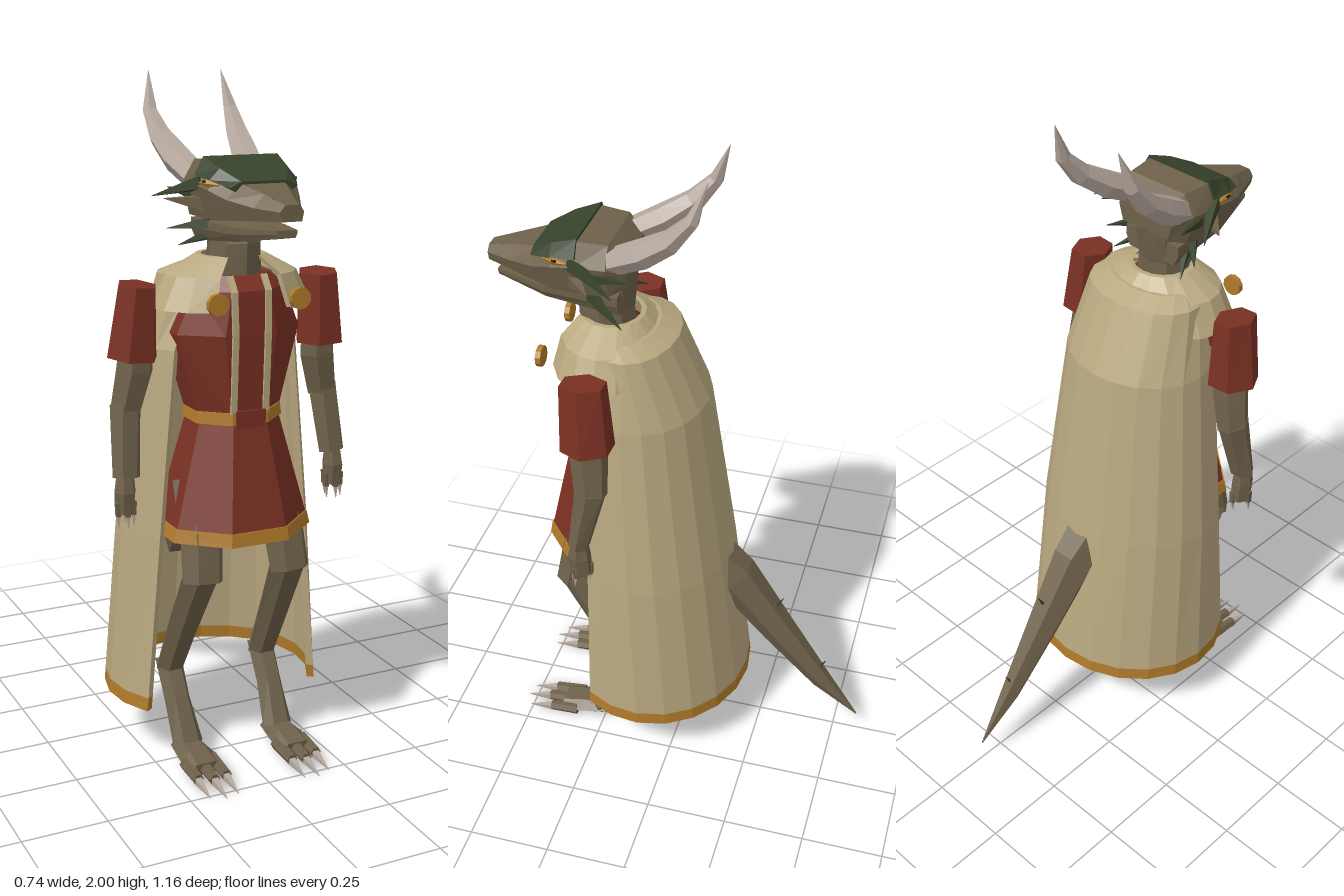
import * as THREE from 'three';

const mat = (name, color) => {
  const m = new THREE.MeshStandardMaterial({ color, flatShading: true });
  m.name = name;
  return m;
};

// Closed solid through rings of equal point count; faces always point outward
function loft(rings) {
  const n = rings[0].length, tris = [];
  const quad = (a, b, c, d) => tris.push([a, b, c], [a, c, d]);
  for (let r = 0; r < rings.length - 1; r++) {
    const A = rings[r], B = rings[r + 1];
    for (let i = 0; i < n; i++) quad(A[i], A[(i + 1) % n], B[(i + 1) % n], B[i]);
  }
  const A = rings[0], B = rings[rings.length - 1];
  for (let i = 0; i < n / 2 - 1; i++) {
    quad(A[i + 1], A[i], A[n - 1 - i], A[n - 2 - i]);
    quad(B[i], B[i + 1], B[n - 2 - i], B[n - 1 - i]);
  }
  let volume = 0;
  const o = A[0], p = new THREE.Vector3(), q = new THREE.Vector3(), s = new THREE.Vector3();
  for (const [a, b, c] of tris) {
    p.subVectors(a, o); q.subVectors(b, o); s.subVectors(c, o);
    volume += p.dot(q.cross(s));
  }
  const pts = tris.flatMap(([a, b, c]) => (volume < 0 ? [a, c, b] : [a, b, c]));
  const g = new THREE.BufferGeometry().setFromPoints(pts);
  g.computeVertexNormals();
  return g;
}

// Limb along points [x, y, z, width radius, depth radius]
function limb(path, sides = 6, s = 1) {
  const c = path.map(([x, y, z]) => new THREE.Vector3(x * s, y, z));
  return loft(path.map(([, , , ru, rv = ru], i) => {
    const t = c[Math.min(i + 1, c.length - 1)].clone().sub(c[Math.max(i - 1, 0)]).normalize();
    const u = new THREE.Vector3(1, 0, 0).addScaledVector(t, -t.x).normalize();
    const v = t.clone().cross(u);
    return Array.from({ length: sides }, (_, k) => {
      const a = (k / sides) * Math.PI * 2 + (sides === 4 ? Math.PI / 4 : 0);
      return c[i].clone().addScaledVector(u, Math.cos(a) * ru).addScaledVector(v, Math.sin(a) * rv);
    });
  }));
}

// Flat-fronted octagonal body section: [y, half width, centre z, half depth]
const octagon = ([y, rx, zc, rz]) => Array.from({ length: 8 }, (_, k) => {
  const a = ((k + 0.5) / 8) * Math.PI * 2, f = 1 / Math.cos(Math.PI / 8);
  return new THREE.Vector3(Math.cos(a) * rx * f, y, zc + Math.sin(a) * rz * f);
});

// C-shaped section open at the front; start is the angle of its front edge
function openRing(y, rx, zc, rz, start, thick, seg = 14) {
  const arc = (d) => Array.from({ length: seg + 1 }, (_, k) => {
    const a = start - (k / seg) * (Math.PI + 2 * start);
    return new THREE.Vector3(Math.cos(a) * (rx - d), y, zc + Math.sin(a) * (rz - d));
  });
  return [...arc(0), ...arc(thick).reverse()];
}

// Head section across x: [z, top half width, half width, top y, middle y, bottom y]
const headRing = ([z, wt, w, yt, ym, yb]) =>
  [[wt, yt], [w, ym], [w * 0.85, yb], [-w * 0.85, yb], [-w, ym], [-wt, yt]]
    .map(([x, y]) => new THREE.Vector3(x, y, z));

export function createModel() {
  const root = new THREE.Group();
  const skin = mat('brown scales', 0x6e614a), green = mat('dark green scales', 0x37432b);
  const red = mat('red cloth', 0x7a3023), cream = mat('cream cloth', 0xb9a880);
  const gold = mat('gold trim', 0xb07a2a), horn = mat('pale horn', 0xb5a79d);
  const dark = mat('dark pupil', 0x1e1c16);
  const add = (name, geo, material) => {
    const m = new THREE.Mesh(geo, material);
    m.name = name;
    root.add(m);
    return m;
  };

  // Long cape with a gold hem
  const capeRing = ([y, rx, zc, zb]) => {
    const rz = zc - zb;
    return openRing(y, rx, zc, rz, Math.asin(Math.min(0.9, (0.26 - zc) / rz)), 0.022);
  };
  const hemTop = [0.22, 0.327, 0.1, -0.196];
  add('cape', loft([hemTop, [0.7, 0.295, 0.11, -0.14], [1.25, 0.235, 0.14, -0.06],
    [1.455, 0.19, 0.16, 0.03], [1.48, 0.14, 0.18, 0.09]].map(capeRing)), cream);
  add('capeHem', loft([[0.18, 0.33, 0.1, -0.2], hemTop].map(capeRing)), gold);

  // Shoulder mantle
  add('mantle', loft([[1.37, 0.24, 0.17], [1.46, 0.195, 0.145], [1.51, 0.1, 0.095]]
    .map(([y, rx, rz]) => openRing(y, rx, 0.225, rz, 1.08, 0.015))), cream);

  // Vest, belt and skirt
  add('vest', loft([[1.06, 0.125, 0.24, 0.11], [1.3, 0.19, 0.225, 0.135],
    [1.42, 0.14, 0.235, 0.12], [1.46, 0.1, 0.24, 0.085]].map(octagon)), red);
  add('belt', loft([[1.045, 0.134, 0.24, 0.12], [1.08, 0.13, 0.24, 0.118]].map(octagon)), gold);
  add('beltFront', new THREE.BoxGeometry(0.09, 0.05, 0.009).translate(0, 1.06, 0.36), red);
  add('skirt', loft([[0.75, 0.205, 0.24, 0.18], [1.06, 0.122, 0.24, 0.115]].map(octagon)), red);
  add('skirtHem', loft([[0.712, 0.218, 0.24, 0.19], [0.75, 0.209, 0.24, 0.184]].map(octagon)), gold);

  // Neck, skull and lower jaw
  add('neck', limb([[0, 1.42, 0.24, 0.085, 0.085], [0, 1.54, 0.245, 0.075, 0.085],
    [0, 1.67, 0.22, 0.085, 0.075]], 8), skin);
  add('head', loft([
    [0.15, 0.07, 0.1, 1.73, 1.69, 1.64], [0.2, 0.1, 0.135, 1.77, 1.71, 1.62],
    [0.29, 0.11, 0.14, 1.775, 1.71, 1.62], [0.36, 0.09, 0.135, 1.745, 1.7, 1.62],
    [0.42, 0.065, 0.11, 1.72, 1.68, 1.625], [0.5, 0.04, 0.07, 1.7, 1.665, 1.63],
    [0.58, 0.02, 0.035, 1.678, 1.66, 1.635]].map(headRing)), skin);
  add('lowerJaw', loft([[0.18, 0.1, 0.1, 1.61, 1.58, 1.545], [0.4, 0.08, 0.08, 1.603, 1.585, 1.565],
    [0.555, 0.03, 0.03, 1.61, 1.6, 1.59]].map(headRing)), skin);
  add('browPlate', loft([[0.285, 0.112, 0.14, 1.784, 1.735, 1.73], [0.36, 0.1, 0.13, 1.757, 1.726, 1.72],
    [0.425, 0.068, 0.1, 1.726, 1.71, 1.7]].map(headRing)), green);

  // Tail with small spines
  add('tail', limb([[0, 0.82, 0.12, 0.08], [0, 0.66, -0.06, 0.085], [0, 0.59, -0.15, 0.07, 0.075],
    [0, 0.39, -0.3, 0.05, 0.056], [0, 0.2, -0.45, 0.028, 0.034], [0, 0.07, -0.575, 0.002]]), skin);
  for (const [y, z] of [[0.49, -0.28], [0.25, -0.43]])
    add('tailSpine', limb([[0, y - 0.02, z, 0.01], [0, y + 0.035, z - 0.03, 0.001]], 4), green);

  for (const s of [1, -1]) {
    const side = s > 0 ? 'left' : 'right';
    const part = (name, path, material, sides = 6) => add(side + name, limb(path, sides, s), material);

    // Horn, eye, nostril and head spikes
    part('Horn', [[0.09, 1.715, 0.2, 0.038], [0.108, 1.765, 0.1, 0.042], [0.122, 1.82, 0.02, 0.034],
      [0.128, 1.89, -0.04, 0.022], [0.115, 2, -0.08, 0.001]], horn);
    part('Eye', [[0.134, 1.716, 0.31, 0.003], [0.128, 1.718, 0.345, 0.012], [0.113, 1.715, 0.385, 0.003]], gold);
    part('Pupil', [[0.138, 1.722, 0.337, 0.004], [0.136, 1.722, 0.35, 0.004]], dark, 4);
    part('Nostril', [[0.029, 1.687, 0.53, 0.006], [0.024, 1.683, 0.55, 0.004]], dark, 4);
    for (const [from, to, r, m] of [
      [[0.12, 1.715, 0.3], [0.21, 1.67, 0.16], 0.025, green],
      [[0.12, 1.68, 0.24], [0.15, 1.69, 0.13], 0.02, green],
      [[0.11, 1.66, 0.3], [0.205, 1.67, 0.23], 0.028, skin],
      [[0.08, 1.6, 0.26], [0.17, 1.58, 0.17], 0.022, green],
      [[0.07, 1.57, 0.25], [0.13, 1.53, 0.16], 0.018, green]])
      part('HeadSpike', [[...from, r], [...to, 0.001]], m, 4);

    // Vest piping and cape clasp
    part('Piping', [[0.05, 1.075, 0.353, 0.013, 0.006], [0.05, 1.3, 0.364, 0.013, 0.006],
      [0.052, 1.42, 0.358, 0.013, 0.006], [0.052, 1.46, 0.328, 0.013, 0.006]], cream, 4);
    add(side + 'Clasp', new THREE.CylinderGeometry(0.031, 0.031, 0.016, 10)
      .rotateX(Math.PI / 2).translate(s * 0.125, 1.4, 0.405), gold);

    // Sleeve, arm, hand and claws
    part('Sleeve', [[0.283, 1.44, 0.225, 0.055, 0.07], [0.297, 1.235, 0.215, 0.074, 0.08]], red);
    part('UpperArm', [[0.285, 1.28, 0.22, 0.05], [0.29, 1.2, 0.215, 0.055],
      [0.315, 1.08, 0.205, 0.046, 0.048]], skin);
    part('Forearm', [[0.315, 1.1, 0.205, 0.046, 0.048], [0.33, 0.9, 0.245, 0.041, 0.032]], skin);
    part('Hand', [[0.333, 0.91, 0.243, 0.026, 0.026], [0.335, 0.86, 0.245, 0.032, 0.036],
      [0.335, 0.8, 0.24, 0.028, 0.034]], skin);
    for (const [x, z] of [[0.312, 0.25], [0.335, 0.265], [0.358, 0.25], [0.325, 0.215]]) {
      part('Finger', [[x, 0.83, z, 0.011], [x, 0.79, z, 0.009]], skin, 4);
      part('FingerClaw', [[x, 0.795, z, 0.008], [x, 0.757, z + 0.005, 0.001]], horn, 4);
    }

    // Bent hind leg
    part('Thigh', [[0.11, 0.86, 0.24, 0.075, 0.07], [0.13, 0.72, 0.315, 0.066, 0.058],
      [0.14, 0.59, 0.345, 0.062, 0.05]], skin);
    part('Shin', [[0.14, 0.62, 0.34, 0.06, 0.048], [0.15, 0.42, 0.23, 0.05, 0.045],
      [0.155, 0.25, 0.14, 0.042, 0.042]], skin);
    part('Ankle', [[0.155, 0.28, 0.13, 0.042, 0.042], [0.155, 0.17, 0.195, 0.04, 0.042],
      [0.15, 0.05, 0.265, 0.048, 0.034]], skin);
    part('Foot', [[0.15, 0.045, 0.24, 0.046, 0.03], [0.15, 0.04, 0.32, 0.056, 0.028],
      [0.15, 0.03, 0.39, 0.058, 0.022]], skin);
    for (const [x, z] of [[0.108, 0.44], [0.15, 0.45], [0.193, 0.43]]) {
      part('Toe', [[x, 0.032, 0.34, 0.02], [x, 0.024, z, 0.017]], skin);
      part('ToeClaw', [[x, 0.021, z - 0.01, 0.016], [x, 0.006, z + 0.08, 0.001]], horn, 4);
    }
  }
  return root;
}
